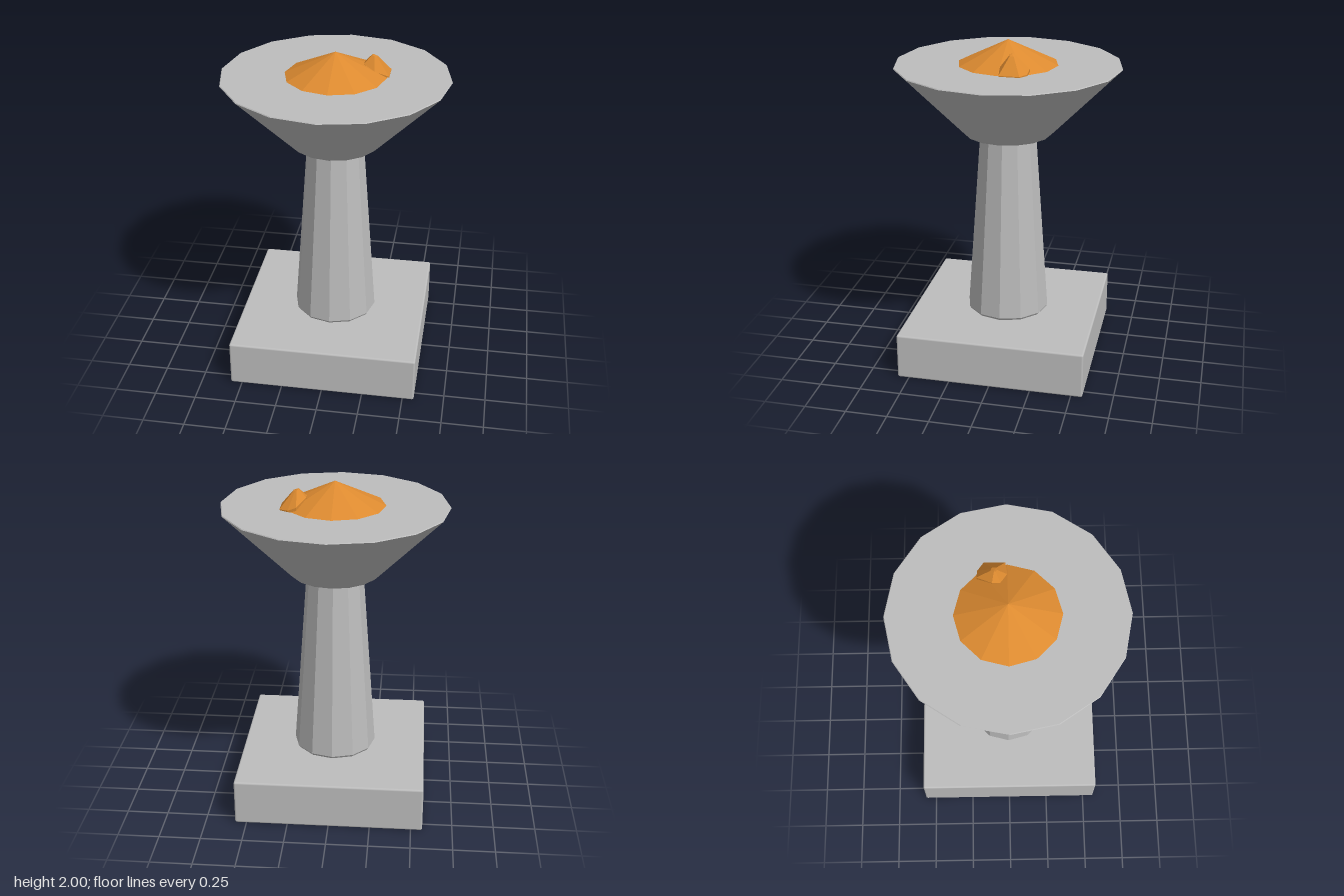
import * as THREE from 'three';
import { RoundedBoxGeometry } from 'three/addons/geometries/RoundedBoxGeometry.js';

const stone = new THREE.MeshStandardMaterial({ color: 0xbdbdbd, flatShading: true });
stone.name = 'stone grey';
const smoothStone = new THREE.MeshStandardMaterial({ color: 0xbdbdbd });
smoothStone.name = 'stone grey smooth';
const ember = new THREE.MeshStandardMaterial({ color: 0xdc8a30, flatShading: true });
ember.name = 'ember orange';

function part(name, geometry, material) {
  const mesh = new THREE.Mesh(geometry, material);
  mesh.name = name;
  return mesh;
}

// Faceted solid of revolution; profile is [radius, height] from bottom to top
function turned(profile, sides) {
  return new THREE.LatheGeometry(profile.map(([r, y]) => new THREE.Vector2(r, y)), sides);
}

// Small leaning lump: a skirt, an uneven shoulder and a blunt tip
function lumpGeometry() {
  const tip = [0.215, 1.967, -0.07];
  const shoulder = [
    [0.31, 1.862, -0.01], [0.31, 1.862, -0.13], [0.26, 1.865, -0.165], [0.21, 1.885, -0.17],
    [0.16, 1.92, -0.085], [0.16, 1.92, -0.04], [0.225, 1.89, 0.0],
  ];
  const toTip = (p, t) => p.map((v, i) => v + (tip[i] - v) * t);
  const rings = [
    shoulder.map(([x, , z]) => [x, 1.845, z]),
    shoulder,
    shoulder.map((p) => { const q = toTip(p, 0.8); q[1] += 0.012; return q; }),
    shoulder.map(() => tip),
  ];
  const n = shoulder.length;
  const index = [];
  for (let k = 0; k < rings.length - 1; k++) {
    for (let i = 0; i < n; i++) {
      const j = (i + 1) % n;
      const a = k * n + i, b = k * n + j, c = a + n, d = b + n;
      index.push(a, b, d);
      if (k < rings.length - 2) index.push(a, d, c);
    }
  }
  const geometry = new THREE.BufferGeometry();
  geometry.setAttribute('position', new THREE.Float32BufferAttribute(rings.flat(2), 3));
  geometry.setIndex(index);
  geometry.computeVertexNormals();
  return geometry;
}

export function createModel() {
  const model = new THREE.Group();
  model.name = 'brazier';

  // Square plinth with softened edges
  const plinth = part('plinth', new RoundedBoxGeometry(1.14, 0.285, 1.14, 2, 0.012), smoothStone);
  plinth.position.y = 0.1425;
  model.add(plinth);

  // Tapered twelve-sided column
  model.add(part('column', turned([
    [0, 0.285], [0.244, 0.285], [0.254, 0.3], [0.173, 1.415], [0.16, 1.43], [0, 1.43],
  ], 12), stone));

  // Flared sixteen-sided bowl with a flat top
  model.add(part('bowl', turned([
    [0, 1.428], [0.245, 1.428], [0.262, 1.434], [0.276, 1.447], [0.676, 1.852], [0.672, 1.857], [0, 1.857],
  ], 16), stone));

  // Heap of embers
  model.add(part('emberHeap', turned([[0, 1.85], [0.303, 1.855], [0, 2]], 12), ember));
  model.add(part('emberLump', lumpGeometry(), ember));

  return model;
}
